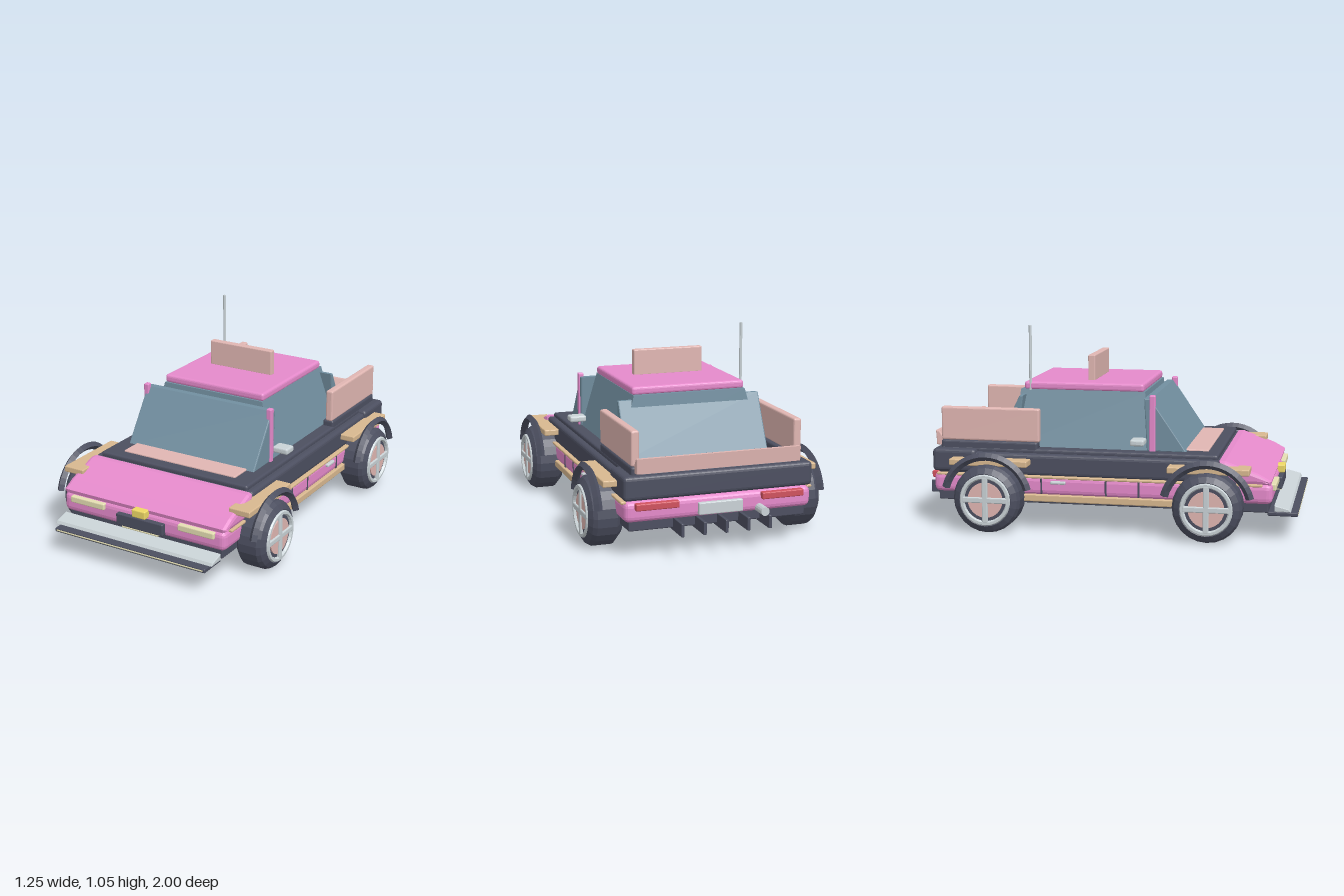
import * as THREE from 'three';
import { RoundedBoxGeometry } from 'three/addons/geometries/RoundedBoxGeometry.js';

const PINK = 0xe58acb, DARK = 0x4c4f60, GLASS = 0x728fa0, BLUSH = 0xe0b6b2, TAN = 0xd8b88f;
const CREAM = 0xe4deb2, SILVER = 0xc9d2d6, RED = 0xd0525e, YELLOW = 0xeed866;

const mats = {};
const mat = (color) => (mats[color] ??= new THREE.MeshStandardMaterial({ color, flatShading: true }));

function add(parent, name, geo, color) {
  const mesh = new THREE.Mesh(geo, mat(color));
  mesh.name = name;
  parent.add(mesh);
  return mesh;
}

// Softly bevelled box given by its extents on each axis
function box(parent, name, color, [x0, x1], [y0, y1], [z0, z1], bevel = 0.006) {
  const w = x1 - x0, h = y1 - y0, d = z1 - z0;
  const geo = new RoundedBoxGeometry(w, h, d, 2, Math.min(bevel, 0.4 * Math.min(w, h, d)));
  geo.translate((x0 + x1) / 2, (y0 + y1) / 2, (z0 + z1) / 2);
  return add(parent, name, geo, color);
}

// The same box on both sides of the car
function pair(parent, name, color, [x0, x1], y, z, bevel) {
  box(parent, name + 'Left', color, [x0, x1], y, z, bevel);
  box(parent, name + 'Right', color, [-x1, -x0], y, z, bevel);
}

// Side profile of [z, y] points, extruded across the car
function prism(parent, name, color, profile, halfWidth, bevel = 0.006) {
  const shape = new THREE.Shape(profile.map(([z, y]) => new THREE.Vector2(z, y)));
  const depth = 2 * (halfWidth - bevel);
  const geo = new THREE.ExtrudeGeometry(shape, {
    depth, bevelThickness: bevel, bevelSize: bevel, bevelOffset: -bevel, bevelSegments: 2,
  });
  geo.translate(0, 0, -depth / 2).rotateY(-Math.PI / 2);
  return add(parent, name, geo, color);
}

// Wheel facing +x: tyre, rim ring, hub disc and crossed spokes
function wheel() {
  const g = new THREE.Group();
  g.name = 'wheel';
  const tyre = [[0, -0.09], [0.135, -0.09], [0.165, -0.062], [0.177, -0.05], [0.177, 0.05],
    [0.165, 0.07], [0.137, 0.088], [0.125, 0.08], [0, 0.08]];
  add(g, 'tyre', new THREE.LatheGeometry(tyre.map((p) => new THREE.Vector2(...p)), 24).rotateZ(-Math.PI / 2), DARK);
  const ring = new THREE.TorusGeometry(0.122, 0.013, 6, 28).rotateY(Math.PI / 2).translate(0.084, 0, 0);
  add(g, 'rim', ring, SILVER);
  add(g, 'hubDisc', new THREE.CylinderGeometry(0.092, 0.092, 0.01, 24).rotateZ(Math.PI / 2).translate(0.082, 0, 0), BLUSH);
  box(g, 'spokeVertical', SILVER, [0.078, 0.096], [-0.12, 0.12], [-0.015, 0.015]);
  box(g, 'spokeAcross', SILVER, [0.078, 0.096], [-0.015, 0.015], [-0.12, 0.12]);
  return g;
}

export function createModel() {
  const car = new THREE.Group();
  car.name = 'pickupCar';

  // Lower body
  box(car, 'underbody', DARK, [-0.46, 0.46], [0.14, 0.2], [-0.88, 0.85]);
  box(car, 'lowerBody', PINK, [-0.485, 0.485], [0.185, 0.29], [-0.9, 0.87], 0.03);
  box(car, 'waistBand', DARK, [-0.48, 0.48], [0.285, 0.4], [-0.88, 0.6], 0.02);
  box(car, 'deck', DARK, [-0.445, 0.445], [0.39, 0.422], [-0.87, 0.59], 0.012);
  box(car, 'rearBodyBlock', DARK, [-0.49, 0.49], [0.295, 0.415], [-0.905, -0.67], 0.02);
  pair(car, 'sill', TAN, [0.46, 0.495], [0.155, 0.192], [-0.45, 0.43]);
  pair(car, 'sideTrim', TAN, [0.47, 0.498], [0.277, 0.291], [-0.88, 0.82]);

  // Sloping hood and cowl panel
  prism(car, 'hood', PINK, [[0.86, 0.285], [0.865, 0.305], [0.8, 0.34], [0.63, 0.4], [0.6, 0.4], [0.6, 0.285]], 0.488, 0.02);
  box(car, 'cowlPanel', BLUSH, [-0.34, 0.34], [0.415, 0.43], [0.4, 0.53]);

  // Cabin: a box narrowed toward the roof
  const cabin = new THREE.BoxGeometry(0.76, 0.295, 0.72);
  const p = cabin.attributes.position;
  for (let i = 0; i < p.count; i++) {
    if (p.getY(i) > 0) p.setXYZ(i, p.getX(i) * 0.79, p.getY(i), p.getZ(i) * 0.92);
  }
  add(car, 'cabin', cabin.translate(0, 0.5675, -0.14), GLASS);
  prism(car, 'windshield', GLASS, [[0.42, 0.42], [0.235, 0.692], [0.2, 0.692], [0.215, 0.42]], 0.385);
  prism(car, 'rearWindow', GLASS, [[-0.46, 0.69], [-0.595, 0.42], [-0.48, 0.42], [-0.44, 0.69]], 0.38);
  box(car, 'roof', PINK, [-0.303, 0.303], [0.712, 0.755], [-0.453, 0.185], 0.014);
  box(car, 'roofSign', BLUSH, [-0.19, 0.19], [0.75, 0.888], [-0.135, -0.097]);
  add(car, 'antenna', new THREE.CylinderGeometry(0.008, 0.008, 0.34, 8).translate(-0.296, 0.88, -0.42), SILVER);
  pair(car, 'pillar', PINK, [0.363, 0.393], [0.415, 0.71], [0.228, 0.26]);
  pair(car, 'mirror', SILVER, [0.375, 0.465], [0.457, 0.49], [0.14, 0.213], 0.01);

  // Cargo bed
  pair(car, 'bedRail', DARK, [0.38, 0.443], [0.4, 0.455], [-0.87, -0.35], 0.012);
  pair(car, 'bedSide', BLUSH, [0.4, 0.441], [0.455, 0.63], [-0.867, -0.34], 0.01);
  prism(car, 'tailgate', BLUSH, [[-0.83, 0.415], [-0.9, 0.425], [-0.905, 0.5], [-0.885, 0.5]], 0.425);

  // Wheels, fender boards and arches
  for (const s of [1, -1]) {
    for (const z of [0.553, -0.585]) {
      const w = wheel();
      w.position.set(s * 0.527, 0.178, z);
      if (s < 0) w.rotation.y = Math.PI;
      car.add(w);
      const x = s > 0 ? [0.44, 0.56] : [-0.56, -0.44];
      box(car, 'fenderBoard', TAN, x, [0.343, 0.376], [z - 0.207, z + 0.207]);
      const arc = Math.PI * 0.84;
      const arch = new THREE.TorusGeometry(0.222, 0.021, 4, 18, arc)
        .rotateZ((Math.PI - arc) / 2).rotateY(Math.PI / 2).translate(s * 0.585, 0.178, z);
      add(car, 'wheelArch', arch, DARK).material = new THREE.MeshStandardMaterial({
        color: DARK, flatShading: true, side: THREE.DoubleSide,
      });
    }
  }

  // Door seams and handles
  for (const z of [0.19, 0.02, -0.32]) pair(car, 'doorSeam', DARK, [0.475, 0.489], [0.195, 0.277], [z - 0.005, z + 0.005]);
  pair(car, 'doorHandle', SILVER, [0.48, 0.503], [0.25, 0.266], [-0.27, -0.19]);

  // Nose
  pair(car, 'headlight', CREAM, [0.222, 0.43], [0.248, 0.282], [0.85, 0.885]);
  box(car, 'nosePlate', DARK, [-0.14, 0.14], [0.197, 0.26], [0.86, 0.895]);
  box(car, 'nosePlateStrip', CREAM, [-0.11, 0.11], [0.186, 0.196], [0.86, 0.89]);
  box(car, 'noseBadge', YELLOW, [-0.04, 0.04], [0.265, 0.307], [0.855, 0.9]);
  prism(car, 'frontBumper', SILVER, [[0.88, 0.15], [0.963, 0.15], [0.955, 0.164], [0.88, 0.183]], 0.47, 0.004);
  box(car, 'splitter', DARK, [-0.45, 0.45], [0.123, 0.145], [0.845, 0.998]);
  box(car, 'splitterStrip', CREAM, [-0.44, 0.44], [0.129, 0.138], [0.985, 1.0]);

  // Tail
  pair(car, 'tailLight', RED, [0.215, 0.435], [0.25, 0.285], [-0.925, -0.89]);
  box(car, 'rearPlate', SILVER, [-0.115, 0.115], [0.2, 0.262], [-0.92, -0.89]);
  add(car, 'exhaust', new THREE.CylinderGeometry(0.022, 0.022, 0.12, 14).rotateX(Math.PI / 2).translate(-0.207, 0.205, -0.92), SILVER);
  for (let i = -2; i <= 2; i++) {
    box(car, 'diffuserFin', DARK, [i * 0.113 - 0.008, i * 0.113 + 0.008], [0.125, 0.19], [-1.0, -0.84], 0.003);
  }
  return car;
}
